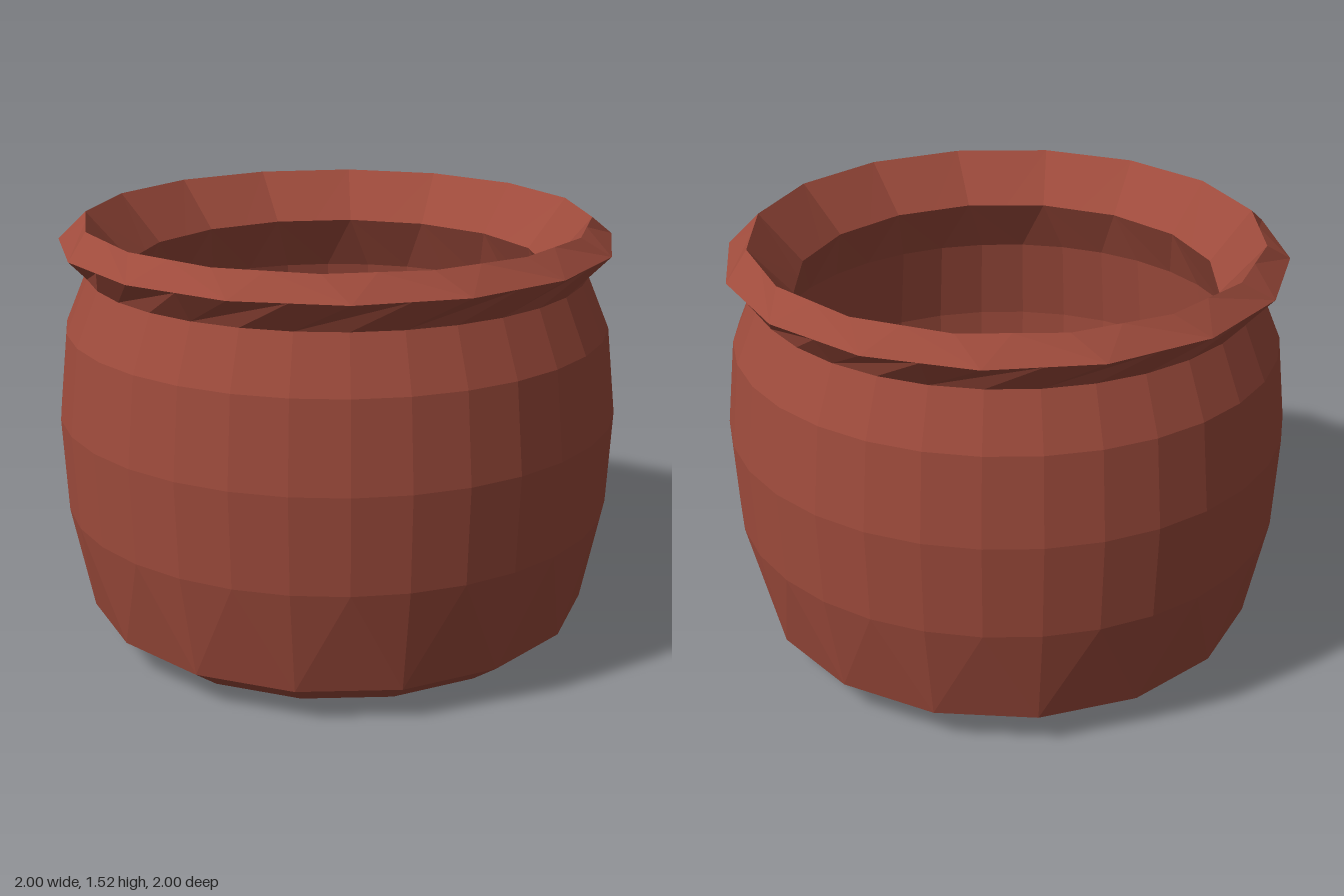
import * as THREE from 'three';

const STEPS = 32;

// One ring of points; a coarse ring keeps every second corner and flattens the points between.
function makeRing([r, y, coarse = false, twist = 0]) {
  const at = (j) => {
    const a = ((j + twist) / STEPS) * Math.PI * 2;
    return new THREE.Vector3(Math.sin(a) * r, y, Math.cos(a) * r);
  };
  return Array.from({ length: STEPS }, (_, j) =>
    coarse && j % 2 ? at(j - 1).add(at(j + 1)).multiplyScalar(0.5) : at(j));
}

// Faceted shell through a list of rings, ordered so that the visible side faces outward.
function makeShell(name, profile, material) {
  const rings = profile.map(makeRing);
  const points = [];
  for (let i = 0; i < rings.length - 1; i++) {
    const [low, high] = [rings[i], rings[i + 1]];
    const [lowTip, highTip] = [profile[i][0] === 0, profile[i + 1][0] === 0];
    for (let j = 0; j < STEPS; j++) {
      const k = (j + 1) % STEPS;
      const [a, b, c, d] = [low[j], low[k], high[k], high[j]];
      if (lowTip) points.push(a, c, d);
      else if (highTip) points.push(a, b, c);
      else if (j % 2) points.push(a, b, d, b, c, d);
      else points.push(a, b, c, a, c, d);
    }
  }
  const geometry = new THREE.BufferGeometry().setFromPoints(points);
  geometry.computeVertexNormals();
  const mesh = new THREE.Mesh(geometry, material);
  mesh.name = name;
  return mesh;
}

export function createModel() {
  const clay = new THREE.MeshStandardMaterial({ color: 0x9e4b3c, flatShading: true });
  clay.name = 'terracotta';

  // Ring entries: radius, height, coarse, twist in steps
  const neck = [0.885, 1.34];
  const throat = [0.745, 1.35, true, 0.4];

  const pot = new THREE.Group();
  pot.name = 'clayPot';
  pot.add(
    // Bulging outer wall with its bevelled foot
    makeShell('outerWall', [
      [0, 0], [0.66, 0.004, true], [0.795, 0.035, true], [0.91, 0.12, true],
      [0.985, 0.5], [1, 0.84], [0.965, 1.15], neck,
    ], clay),
    // Flared lip: underside, sloping top edge and inner funnel
    makeShell('rim', [
      neck, [0.98, 1.448, true, 1], [0.895, 1.525, true, 0.5], throat,
    ], clay),
    // Hollow inside, widening below the throat, and the floor
    makeShell('interior', [
      throat, [0.83, 1.15], [0.87, 0.84], [0.855, 0.5], [0.78, 0.2, true], [0.66, 0.12, true], [0, 0.1],
    ], clay),
  );
  return pot;
}
